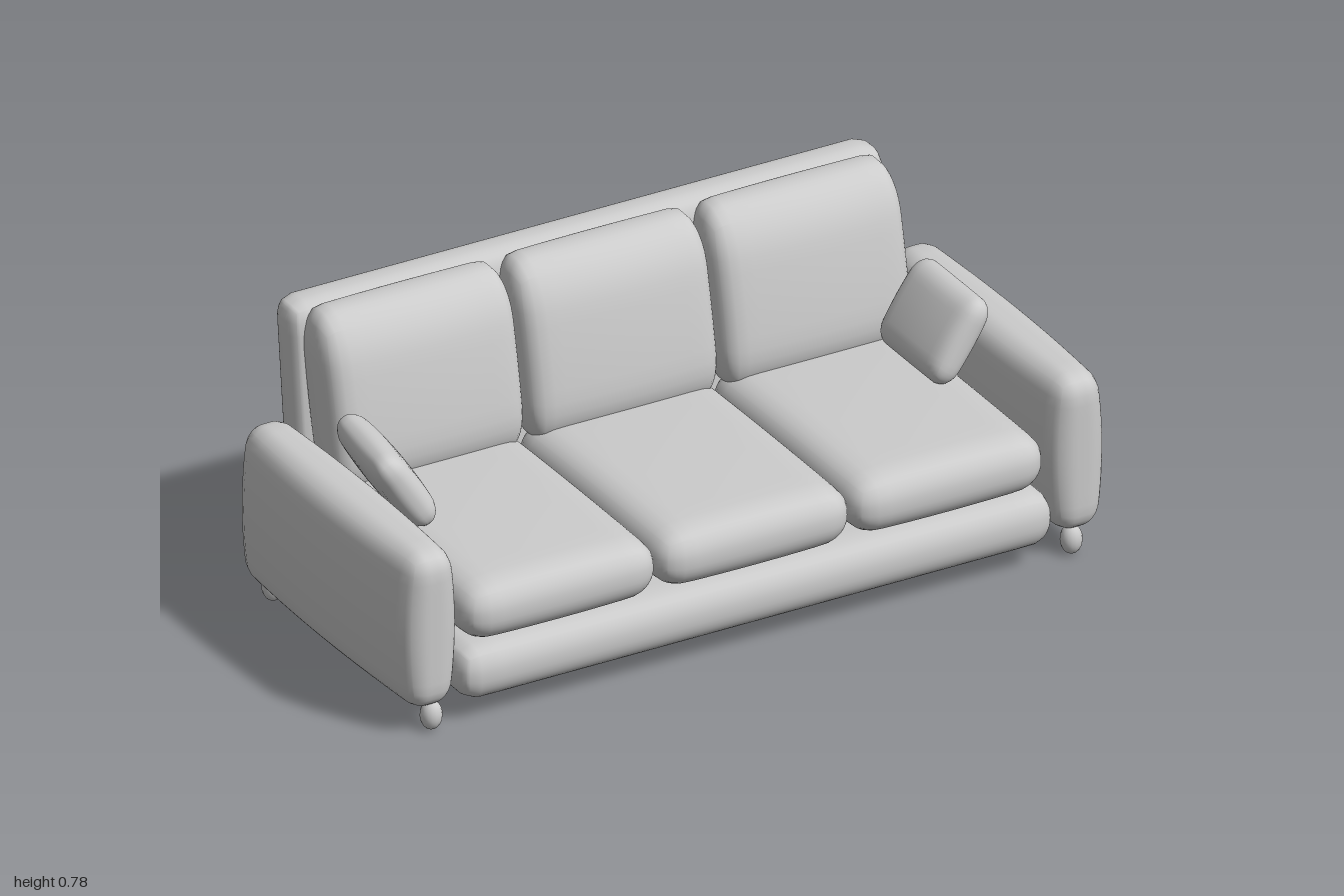
import * as THREE from 'three';
import { mergeVertices } from 'three/addons/utils/BufferGeometryUtils.js';

const material = new THREE.MeshStandardMaterial({ color: 0xcccccc });
const AXES = ['x', 'y', 'z'];

// Stuffed block: a box with elliptical edge radii, thinned towards its rim
// along one axis (puff = [axis, amount]) and leaned back in z with height.
function stuffed(name, size, radii, { puff = ['y', 0], lean = 0 } = {}) {
  let geo = new THREE.BoxGeometry(2, 2, 2, 18, 18, 18);
  geo.deleteAttribute('uv');
  geo.deleteAttribute('normal');
  geo = mergeVertices(geo);
  const pos = geo.attributes.position;
  const p = new THREE.Vector3(), core = new THREE.Vector3(), out = new THREE.Vector3();
  const half = new THREE.Vector3(...size).multiplyScalar(0.5);
  const r = new THREE.Vector3(...radii);
  const [axis, amount] = puff;
  for (let i = 0; i < pos.count; i++) {
    p.fromBufferAttribute(pos, i);
    for (const a of AXES) {
      const q = Math.sin(p[a] * Math.PI / 2) * half[a];
      const inner = half[a] - r[a];
      core[a] = THREE.MathUtils.clamp(q, -inner, inner);
      out[a] = (q - core[a]) / r[a];
    }
    p.copy(core).add(out.normalize().multiply(r));
    let rim = 0;
    for (const a of AXES) if (a !== axis) rim += (p[a] / half[a]) ** 2 / 2;
    p[axis] *= 1 - amount * rim;
    p.z -= lean * p.y;
    pos.setXYZ(i, p.x, p.y, p.z);
  }
  geo.computeVertexNormals();
  const mesh = new THREE.Mesh(geo, material);
  mesh.name = name;
  return mesh;
}

export function createModel() {
  const sofa = new THREE.Group();
  sofa.name = 'sofa';
  const add = (mesh, x, y, z) => {
    mesh.position.set(x, y, z);
    sofa.add(mesh);
    return mesh;
  };

  // Base and leaning backrest
  add(stuffed('base', [1.66, 0.148, 0.83], [0.06, 0.07, 0.06]), 0, 0.129, 0.053);
  add(stuffed('backrest', [1.66, 0.7, 0.125], [0.05, 0.055, 0.055], { lean: 0.105 }), 0, 0.42, -0.378);

  // Three seat cushions and three back cushions
  for (const i of [-1, 0, 1]) {
    const x = i * 0.541;
    add(stuffed('seatCushion', [0.545, 0.172, 0.74], [0.08, 0.08, 0.07], { puff: ['y', 0.15] }),
      x, 0.283, 0.092);
    add(stuffed('backCushion', [0.54, 0.46, 0.2], [0.05, 0.12, 0.09], { puff: ['z', 0.25], lean: 0.2 }),
      x, 0.546, -0.277);
  }

  // Arms, each on a front and a back foot
  for (const side of [-1, 1]) {
    add(stuffed('arm', [0.19, 0.425, 0.84], [0.075, 0.06, 0.06], { puff: ['x', 0.4] }),
      side * 0.903, 0.278, 0.035);
    for (const z of [0.415, -0.345]) {
      const foot = add(new THREE.Mesh(new THREE.SphereGeometry(1, 16, 12), material), side * 0.893, 0.039, z);
      foot.scale.set(0.028, 0.039, 0.028);
      foot.name = 'foot';
    }
  }

  // Throw pillows leaning against the arms
  const pillow = (side, yaw, z) => {
    const mesh = add(stuffed('throwPillow', [0.1, 0.235, 0.3], [0.045, 0.05, 0.04], { puff: ['x', 0.35] }),
      side * 0.762, 0.468, z);
    mesh.rotation.set(0, yaw, -side * 0.58);
    mesh.rotation.order = 'YXZ';
  };
  pillow(1, 0, -0.017);
  pillow(-1, -0.13, -0.025);

  return sofa;
}
